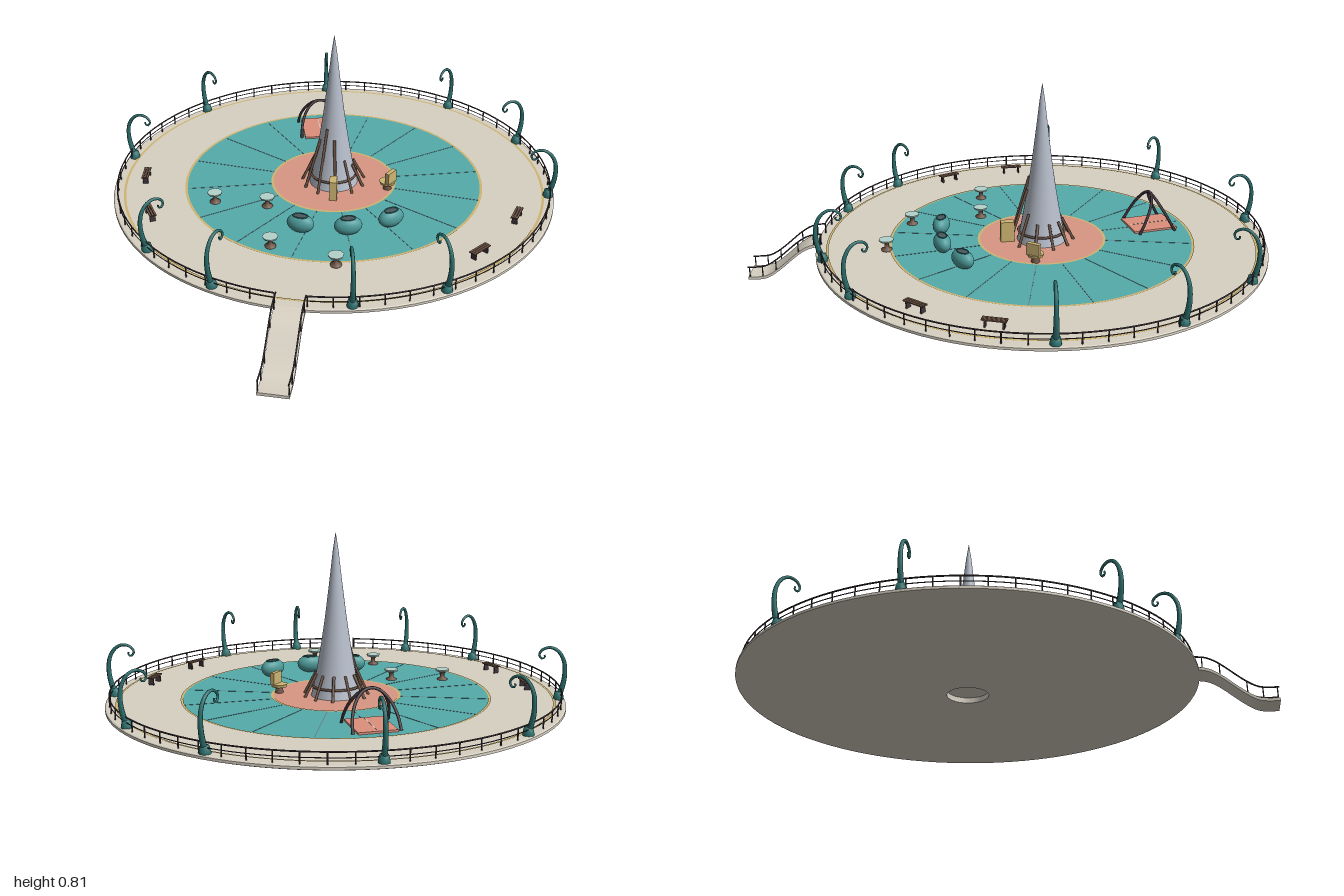
import * as THREE from 'three';
import { toCreasedNormals } from 'three/addons/utils/BufferGeometryUtils.js';

const DECK = 0.157;
const V2 = (x, y) => new THREE.Vector2(x, y);
const V3 = (x, y, z) => new THREE.Vector3(x, y, z);
const rad = THREE.MathUtils.degToRad;
const mat = (color, side = THREE.FrontSide) => new THREE.MeshStandardMaterial({ color, side });

const cream = mat(0xd8d1c3), teal = mat(0x56abab), salmon = mat(0xd99783), gold = mat(0xcfb573);
const darkTeal = mat(0x2c706e), podTeal = mat(0x4f9c9c, THREE.DoubleSide), paleTeal = mat(0xb4d3cb);
const iron = mat(0x40343a), wood = mat(0x705648), steel = mat(0xb6bdca), seam = mat(0x5c7f8c);
const inside = mat(0x4a5a5e);

function add(parent, name, geometry, material, x = 0, y = 0, z = 0) {
  const mesh = new THREE.Mesh(geometry, material);
  mesh.name = name;
  mesh.position.set(x, y, z);
  parent.add(mesh);
  return mesh;
}

// Group placed at a polar position, its local +x pointing away from the centre
function polar(parent, name, angle, r, y = DECK) {
  const g = new THREE.Group();
  g.name = name;
  g.position.set(Math.cos(angle) * r, y, Math.sin(angle) * r);
  g.rotation.y = -angle;
  parent.add(g);
  return g;
}

// Round rod between two points
function rod(parent, name, a, b, r, material) {
  const m = add(parent, name, new THREE.CylinderGeometry(r, r, a.distanceTo(b), 6), material);
  m.position.copy(a).lerp(b, 0.5);
  m.quaternion.setFromUnitVectors(V3(0, 1, 0), b.clone().sub(a).normalize());
  return m;
}

function flatRing(parent, name, r0, r1, y, material) {
  add(parent, name, new THREE.RingGeometry(r0, r1, 96).rotateX(-Math.PI / 2), material, 0, y);
}

// Tube that narrows from r0 to r1 along its curve
function taperedTube(curve, r0, r1, segs, sides) {
  const geo = new THREE.TubeGeometry(curve, segs, 1, sides);
  const p = geo.attributes.position, v = new THREE.Vector3();
  for (let i = 0; i <= segs; i++) {
    const c = curve.getPointAt(i / segs), r = r0 + (r1 - r0) * i / segs;
    for (let j = 0; j <= sides; j++) {
      const k = i * (sides + 1) + j;
      v.fromBufferAttribute(p, k).sub(c).multiplyScalar(r).add(c);
      p.setXYZ(k, v.x, v.y, v.z);
    }
  }
  return geo;
}

function buildDeck(park) {
  const profile = [V2(0, 0.15), V2(0.083, 0.15), V2(0.083, 0.128), V2(0.895, 0.14), V2(0.905, 0.144),
    V2(0.905, 0.154), V2(0.9, DECK), V2(0, DECK)];
  add(park, 'deck', toCreasedNormals(new THREE.LatheGeometry(profile, 96), 0.5), cream);
  flatRing(park, 'tealFloor', 0.254, 0.61, 0.1585, teal);
  add(park, 'centreFloor', new THREE.CircleGeometry(0.254, 64).rotateX(-Math.PI / 2), salmon, 0, 0.1585);
  for (const r of [0.254, 0.61, 0.86]) flatRing(park, 'goldBand', r - 0.005, r + 0.005, 0.16, gold);
  for (let i = 0; i < 16; i++) {
    const g = polar(park, 'floorSeam', i * Math.PI / 8, 0.432, 0.159);
    add(g, 'seamStrip', new THREE.BoxGeometry(0.345, 0.001, 0.003), seam);
  }
}

function buildRailing(park, rampAngle) {
  const gap = rad(3.8), n = 60, arc = Math.PI * 2 - 2 * gap;
  for (const [y, r] of [[0.2, 0.003], [0.18, 0.0018]]) {
    const geo = new THREE.TorusGeometry(0.887, r, 6, 120, arc).rotateZ(rampAngle + gap).rotateX(Math.PI / 2);
    add(park, 'handrail', geo, iron, 0, y);
  }
  for (let i = 0; i <= n; i++) {
    const g = polar(park, 'railPost', rampAngle + gap + arc * i / n, 0.887);
    add(g, 'post', new THREE.CylinderGeometry(0.0028, 0.0028, 0.043, 6), iron, 0, 0.0215);
  }
}

function buildRamp(park, angle) {
  const g = polar(park, 'ramp', angle, 0, 0);
  const curve = new THREE.SplineCurve([V2(0.88, DECK), V2(0.93, 0.15), V2(0.98, 0.122), V2(1.06, 0.054),
    V2(1.11, 0.021), V2(1.15, 0.013), V2(1.19, 0.012)]);
  const top = curve.getPoints(24);
  const slab = new THREE.Shape([...top, ...top.map(p => V2(p.x, p.y - 0.012)).reverse()]);
  const geo = new THREE.ExtrudeGeometry(slab, { depth: 0.113, bevelEnabled: false }).translate(0, 0, -0.0565);
  add(g, 'rampSlab', toCreasedNormals(geo, 0.6), cream);
  for (const z of [-0.054, 0.054]) {
    const path = new THREE.CatmullRomCurve3(top.map(p => V3(p.x, p.y + 0.043, z)));
    add(g, 'rampHandrail', new THREE.TubeGeometry(path, 32, 0.003, 6), iron);
    for (const i of [3, 8, 13, 18, 23]) {
      rod(g, 'rampPost', V3(top[i].x, top[i].y, z), V3(top[i].x, top[i].y + 0.043, z), 0.0025, iron);
    }
  }
}

function buildLamps(park) {
  const curl = new THREE.CatmullRomCurve3([[-0.012, 0], [0.005, 0.05], [0.013, 0.1], [0.008, 0.155], [-0.015, 0.193],
    [-0.045, 0.207], [-0.076, 0.198], [-0.088, 0.178], [-0.078, 0.162], [-0.066, 0.168], [-0.068, 0.178]]
    .map(([x, y]) => V3(x, y, 0)));
  const stem = taperedTube(curl, 0.012, 0.0035, 40, 8);
  const foot = new THREE.LatheGeometry([V2(0.021, 0), V2(0.021, 0.008), V2(0.016, 0.028), V2(0, 0.034)], 12);
  for (const a of [0, 29, 60, 115, 138, 172, 195, 245, 280, 320]) {
    const g = polar(park, 'curledLamp', rad(a), 0.888);
    add(g, 'lampStem', stem, darkTeal);
    add(g, 'lampFoot', foot, darkTeal, -0.008);
  }
}

function buildSpire(park) {
  const pts = [[0.1, 0.157], [0.088, 0.2], [0.075, 0.27], [0.058, 0.37], [0.042, 0.48], [0.026, 0.61], [0.011, 0.74], [0, 0.812]];
  add(park, 'spire', new THREE.LatheGeometry(pts.map(p => V2(...p)), 32), steel);
  add(park, 'spireBelt', new THREE.TorusGeometry(0.094, 0.005, 6, 32).rotateX(Math.PI / 2), wood, 0, 0.198);
  // Leaning poles, tallest on one side
  for (let i = 0; i < 11; i++) {
    const a = i * Math.PI * 2 / 11 + 0.15;
    const g = polar(park, 'leaningPole', a, 0, 0);
    const h = 0.25 + 0.17 * Math.max(0, Math.cos(a - rad(170))) ** 2;
    const k = pts.findIndex(p => p[1] > h), [a0, b0] = [pts[k - 1], pts[k]];
    const r = a0[0] + (b0[0] - a0[0]) * (h - a0[1]) / (b0[1] - a0[1]);
    rod(g, 'pole', V3(0.13, DECK, 0), V3(r + 0.003, h, 0), 0.006, wood);
  }
}

function buildBenches(park) {
  for (const a of [75, 98, 210, 232.5]) {
    const g = polar(park, 'bench', rad(a), 0.78);
    for (const x of [-0.01, 0, 0.01]) add(g, 'slat', new THREE.BoxGeometry(0.008, 0.005, 0.092), wood, x, 0.03);
    for (const z of [-0.034, 0.034]) add(g, 'benchLeg', new THREE.BoxGeometry(0.022, 0.028, 0.006), iron, 0, 0.014, z);
  }
}

function buildTables(park) {
  const spool = [V2(0.022, 0), V2(0.022, 0.006), V2(0.009, 0.013), V2(0.009, 0.03), V2(0.024, 0.04)];
  for (const [x, z] of [[-0.435, -0.267], [-0.33, -0.08], [-0.545, 0.12], [-0.49, 0.39]]) {
    const g = new THREE.Group();
    g.name = 'table';
    g.position.set(x, DECK, z);
    park.add(g);
    add(g, 'tableStand', new THREE.LatheGeometry(spool, 12), wood);
    add(g, 'tableTop', toCreasedNormals(new THREE.CylinderGeometry(0.031, 0.028, 0.008, 8), 0.6), paleTeal, 0, 0.043);
  }
}

function buildPods(park) {
  for (const [x, z] of [[-0.39, 0.14], [-0.29, 0.295], [-0.14, 0.39]]) {
    const g = polar(park, 'podSeat', Math.atan2(z, x), Math.hypot(x, z), 0.194);
    g.scale.set(0.034, 0.038, 0.055);
    add(g, 'podShell', new THREE.SphereGeometry(1, 24, 16, 0, Math.PI * 2, 0.55), podTeal);
    add(g, 'podHollow', new THREE.CircleGeometry(0.56, 24).rotateX(-Math.PI / 2), inside, 0, 0.78);
    add(g, 'podRim', new THREE.TorusGeometry(0.53, 0.06, 8, 24).rotateX(Math.PI / 2), darkTeal, 0, 0.85);
  }
}

function buildArches(park) {
  const g = new THREE.Group();
  g.name = 'climbingArches';
  g.position.set(0.332, DECK, -0.335);
  g.rotation.y = rad(45);
  park.add(g);
  add(g, 'playMat', new THREE.BoxGeometry(0.185, 0.008, 0.15), mat(0xdd8f7c), 0, 0.006);
  add(g, 'matLine', new THREE.BoxGeometry(0.16, 0.001, 0.003), cream, 0, 0.0105);
  // Two arches lean together and meet over the mat; feet sit on opposite sides
  for (const s of [-1, 1]) {
    const pts = [];
    for (let i = 0; i <= 12; i++) {
      const t = Math.PI * i / 12, h = Math.sin(t);
      pts.push(V3(-Math.cos(t) * 0.09, h * 0.145, s * (0.078 - 0.078 * h)));
    }
    const m = add(g, 'arch', new THREE.TubeGeometry(new THREE.CatmullRomCurve3(pts), 32, 0.006, 8), iron);
    m.rotation.y = Math.PI / 2;
  }
}

function buildSeatAndPanel(park) {
  const chair = new THREE.Group();
  chair.name = 'goldChair';
  chair.position.set(0.083, DECK, 0.215);
  park.add(chair);
  add(chair, 'chairPost', new THREE.CylinderGeometry(0.012, 0.018, 0.03, 12), wood, 0, 0.015);
  add(chair, 'chairSeat', new THREE.CylinderGeometry(0.033, 0.03, 0.012, 20), gold, 0, 0.032);
  add(chair, 'chairBack', new THREE.BoxGeometry(0.055, 0.05, 0.018), gold, 0, 0.06, 0.016);
  const panel = add(park, 'standingPanel', new THREE.BoxGeometry(0.055, 0.085, 0.03), gold, -0.112, DECK + 0.0425, 0.085);
  panel.rotation.y = rad(35);
}

export function createModel() {
  const root = new THREE.Group();
  root.name = 'roundPlayPlatform';
  const park = new THREE.Group();
  park.name = 'platform';
  park.position.x = 0.08;
  root.add(park);
  const rampAngle = rad(152);
  buildDeck(park);
  buildRailing(park, rampAngle);
  buildRamp(park, rampAngle);
  buildLamps(park);
  buildSpire(park);
  buildBenches(park);
  buildTables(park);
  buildPods(park);
  buildArches(park);
  buildSeatAndPanel(park);
  return root;
}
